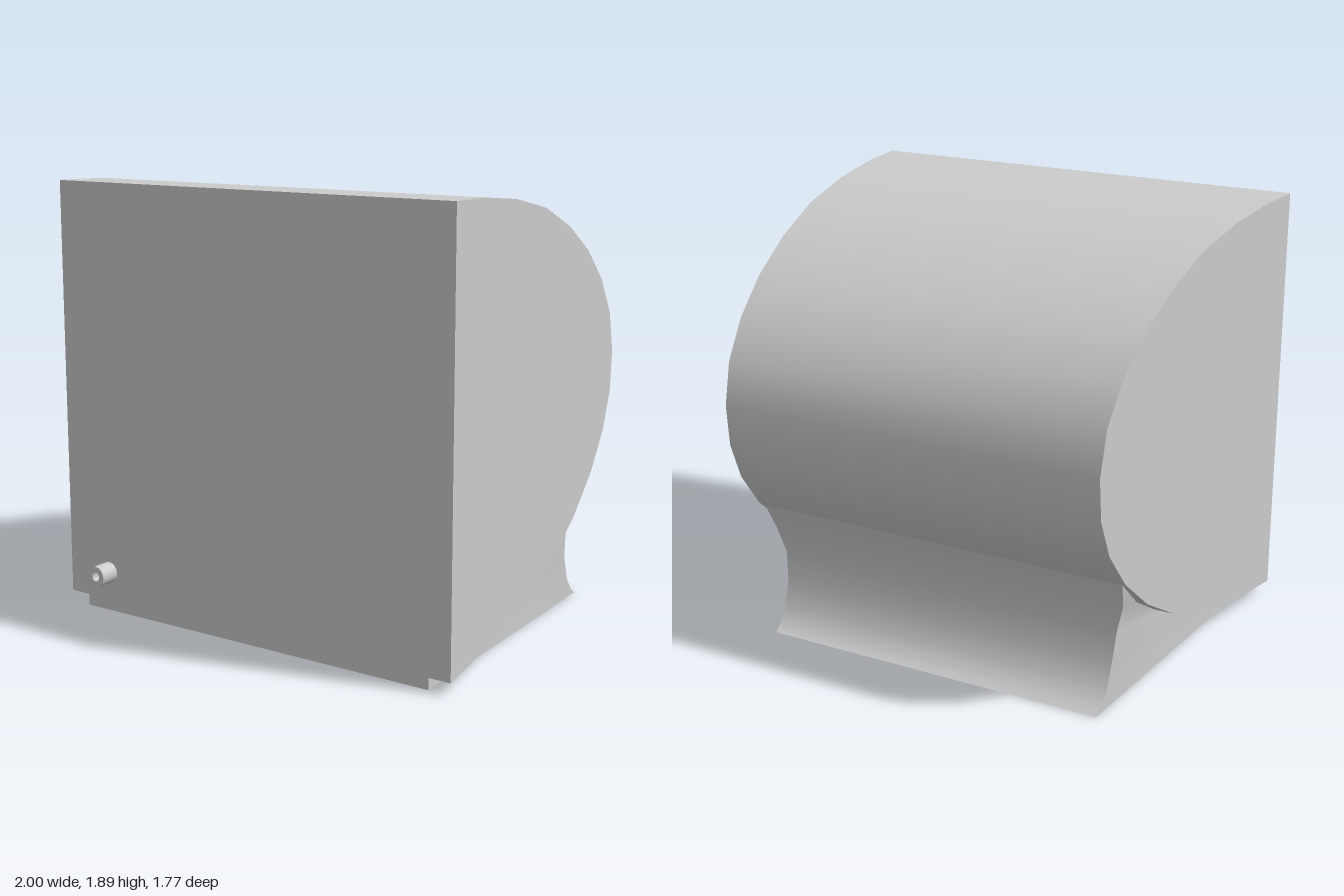
import * as THREE from 'three';
import { toCreasedNormals } from 'three/addons/utils/BufferGeometryUtils.js';

// Half-width of the housing, narrowing towards the back
const halfWidth = (z) => 1 - (0.7 - z) * 0.0915;

// Sweep a (z, y) side profile across x, then taper it by depth and height
function taperedSlab(profile, widthAt) {
  const shape = new THREE.Shape(profile.map(([z, y]) => new THREE.Vector2(z, y)));
  const geometry = new THREE.ExtrudeGeometry(shape, { depth: 2, bevelEnabled: false });
  geometry.translate(0, 0, -1).rotateY(-Math.PI / 2);
  const p = geometry.attributes.position;
  for (let i = 0; i < p.count; i++) {
    p.setX(i, p.getX(i) * halfWidth(p.getZ(i)) * widthAt(p.getY(i)));
  }
  return toCreasedNormals(geometry, 0.7);
}

export function createModel() {
  const group = new THREE.Group();
  const grey = new THREE.MeshStandardMaterial({ color: 0xcccccc });
  const add = (name, geometry) => {
    const mesh = new THREE.Mesh(geometry, grey);
    mesh.name = name;
    group.add(mesh);
    return mesh;
  };

  // Housing: flat front, rounded back
  const underside = [
    [0.7, 0.05], [0.32, 0.1], [0.01, 0.18], [-0.25, 0.285], [-0.48, 0.425], [-0.67, 0.59],
  ];
  const backAndTop = [
    [-0.8, 0.76], [-0.87, 0.93], [-0.885, 1.11], [-0.84, 1.29], [-0.73, 1.45], [-0.57, 1.59],
    [-0.36, 1.71], [-0.11, 1.805], [0.18, 1.86], [0.47, 1.885], [0.7, 1.887],
  ];
  add('housing', taperedSlab([...underside, ...backAndTop], () => 1));

  // Foot: wedge under the housing with a concave back, flaring out where it joins
  const footBack = [
    [-0.66, 0.59], [-0.6, 0.45], [-0.58, 0.33], [-0.595, 0.2], [-0.63, 0.09], [-0.68, 0.025], [-0.72, 0],
  ];
  const footTop = underside.slice(0, 5).map(([z, y], i) => [z, y + (i ? 0.02 : 0)]);
  const flare = (y) => 0.9 + 0.08 * THREE.MathUtils.smoothstep(y, 0.25, 0.59);
  add('foot', taperedSlab([[0.7, 0], ...footTop, ...footBack], flare));

  // Knob: short cylinder with a recessed centre, set off the front
  const knobProfile = [
    [0, 0], [0.045, 0], [0.045, 0.085], [0.02, 0.085], [0.02, 0.03], [0, 0.03],
  ].map(([r, h]) => new THREE.Vector2(r, h));
  const knob = add('knob', toCreasedNormals(new THREE.LatheGeometry(knobProfile, 24), 0.7));
  knob.rotation.x = Math.PI / 2;
  knob.position.set(-0.677, 0.217, 0.8);

  return group;
}
